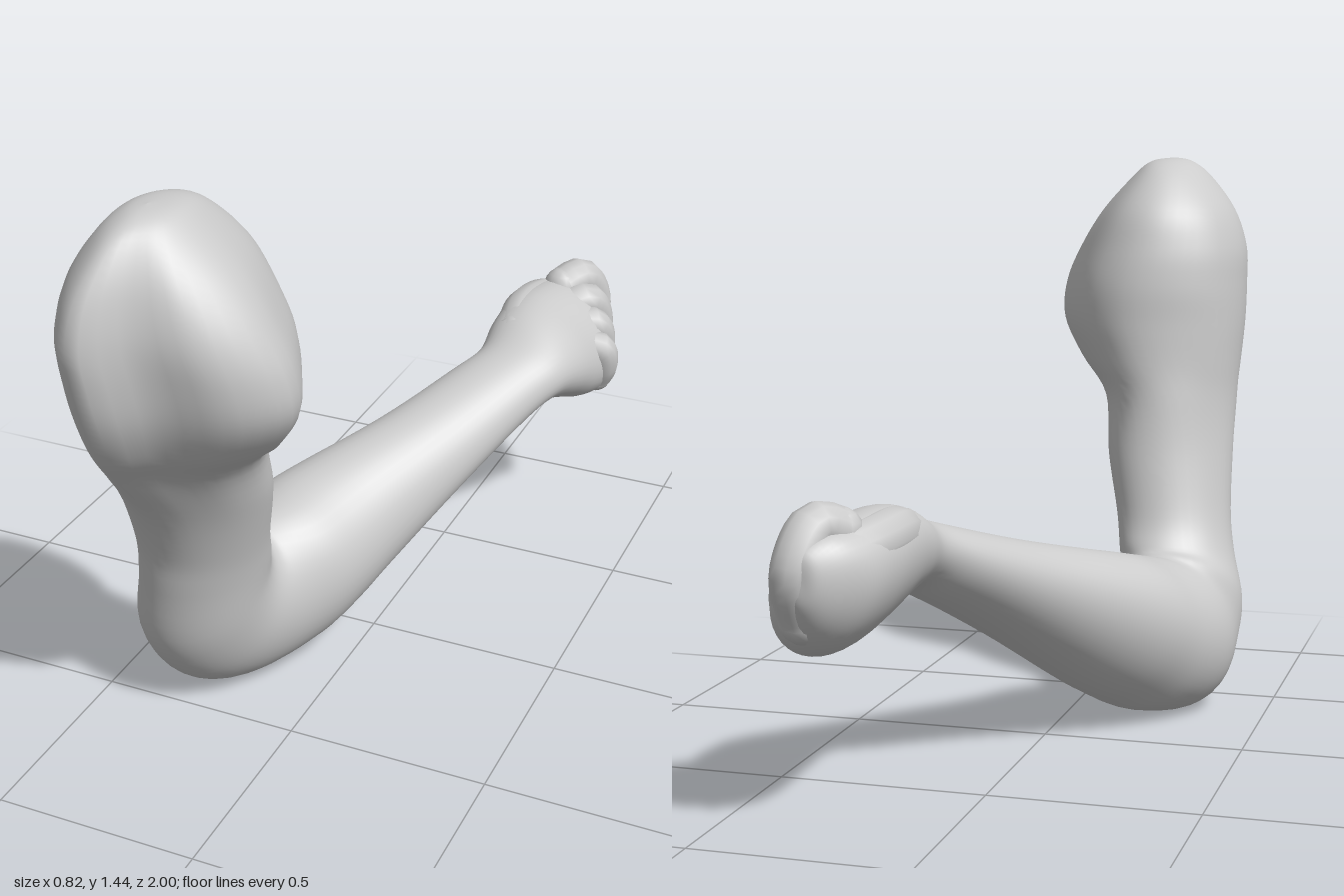
import * as THREE from 'three';

const SIDES = 40;
const STEPS = 5;
const material = new THREE.MeshStandardMaterial({ color: 0xcccccc });

// Outline of the shoulder seen from above, in units of its half width and depth
const shoulderOutline = new THREE.CatmullRomCurve3([
  [1, 0.2], [0.65, 0.58], [0.07, 0.72], [-0.4, 1], [-0.87, 0.45], [-1, -0.15],
  [-0.83, -0.65], [-0.42, -0.92], [0.08, -1], [0.48, -0.82], [0.8, -0.35],
].map(([x, z]) => new THREE.Vector3(x, 0, z)), true);

// Cross-sections: inner y, inner z, outer y, outer z, min x, max x, shoulder blend, lean
const upperArm = [
  [1.44, 0.765, 1.44, 0.765, -0.16, -0.16, 0, 0],
  [1.43, 0.66, 1.43, 0.83, -0.21, -0.1, 0.2, 0],
  [1.39, 0.57, 1.39, 0.9, -0.265, -0.05, 0.5, 0],
  [1.3, 0.48, 1.3, 0.97, -0.335, 0.035, 0.8, 0],
  [1.2, 0.44, 1.2, 1.0, -0.37, 0.1, 0.95, 0],
  [1.1, 0.42, 1.1, 0.99, -0.375, 0.14, 1, 0],
  [1.0, 0.415, 1.0, 0.96, -0.375, 0.14, 0.95, -0.05],
  [0.9, 0.41, 0.9, 0.905, -0.37, 0.08, 0.8, -0.15],
  [0.8, 0.4, 0.8, 0.82, -0.365, -0.01, 0.5, -0.25],
  [0.65, 0.38, 0.65, 0.7, -0.365, -0.04, 0.15, -0.25],
  [0.5, 0.35, 0.5, 0.63, -0.37, -0.075, 0, -0.2],
];
const elbow = [
  [0.43, 0.315, 0.38, 0.605, -0.385, -0.09, 0, -0.2],
  [0.415, 0.295, 0.2, 0.57, -0.415, -0.1, 0, -0.2],
  [0.41, 0.28, 0.065, 0.48, -0.415, -0.09, 0, -0.2],
  [0.415, 0.26, 0, 0.35, -0.41, -0.055, 0, -0.15],
];
const forearm = [
  [0.43, 0.2, 0.02, 0.2, -0.375, 0.005, 0, -0.05],
  [0.455, 0.1, 0.07, 0.1, -0.335, 0.045, 0, 0],
  [0.48, 0, 0.135, 0, -0.27, 0.085, 0, 0],
  [0.535, -0.2, 0.285, -0.2, -0.115, 0.18, 0, 0],
  [0.6, -0.4, 0.415, -0.4, 0.015, 0.275, 0, 0],
  [0.635, -0.5, 0.465, -0.5, 0.08, 0.325, 0, 0.1],
];
const palm = [
  [0.675, -0.6, 0.44, -0.6, 0.08, 0.355, 0, 0.25],
  [0.69, -0.7, 0.4, -0.7, 0.08, 0.37, 0, 0.35],
  [0.685, -0.8, 0.38, -0.8, 0.09, 0.38, 0, 0.35],
  [0.67, -0.88, 0.4, -0.88, 0.11, 0.35, 0, 0.3],
  [0.66, -0.94, 0.45, -0.94, 0.15, 0.31, 0, 0.2],
  [0.63, -0.98, 0.52, -0.98, 0.2, 0.27, 0, 0],
  [0.575, -0.985, 0.575, -0.985, 0.235, 0.235, 0, 0],
];

// Smooth skin through the cross-sections
function loft(rows) {
  const pos = [], index = [], last = rows.length - 1;
  const at = i => rows[Math.min(Math.max(i, 0), last)];
  const rings = last * STEPS + 1;
  for (let r = 0; r < rings; r++) {
    const k = Math.min(Math.floor(r / STEPS), last - 1), f = r / STEPS - k;
    const [yi, zi, yo, zo, x0, x1, w, lean] = at(k).map((p1, c) => {
      const p0 = at(k - 1)[c], p2 = at(k + 1)[c], p3 = at(k + 2)[c];
      return p1 + 0.5 * f * (p2 - p0 + f * (2 * p0 - 5 * p1 + 4 * p2 - p3 + f * (3 * (p1 - p2) + p3 - p0)));
    });
    for (let j = 0; j < SIDES; j++) {
      const t = (j / SIDES) * Math.PI * 2;
      const s = shoulderOutline.getPoint(j / SIDES);
      const a = THREE.MathUtils.lerp(Math.cos(t), s.x, w);
      const b = (1 + THREE.MathUtils.lerp(Math.sin(t + lean), s.z, w)) / 2;
      pos.push(x0 + (x1 - x0) * (1 + a) / 2, yi + (yo - yi) * b, zi + (zo - zi) * b);
      if (r < rings - 1) {
        const n = (j + 1) % SIDES, p = r * SIDES, q = p + SIDES;
        index.push(p + j, p + n, q + j, p + n, q + n, q + j);
      }
    }
  }
  const g = new THREE.BufferGeometry();
  g.setAttribute('position', new THREE.Float32BufferAttribute(pos, 3));
  g.setIndex(index);
  g.computeVertexNormals();
  return g;
}

// Round-ended tube through a few points
function digit(name, points, radius) {
  const group = new THREE.Group();
  group.name = name;
  const curve = new THREE.CatmullRomCurve3(points.map(p => new THREE.Vector3(...p)));
  group.add(new THREE.Mesh(new THREE.TubeGeometry(curve, 16, radius, 12), material));
  for (const end of [0, 1]) {
    const tip = new THREE.Mesh(new THREE.SphereGeometry(radius, 12, 8), material);
    tip.position.copy(curve.getPoint(end));
    group.add(tip);
  }
  return group;
}

export function createModel() {
  const model = new THREE.Group();
  model.name = 'bentArm';

  const arm = new THREE.Mesh(loft([...upperArm, ...elbow, ...forearm, ...palm]), material);
  arm.name = 'armAndPalm';
  model.add(arm);

  // Four fingers pressed together and curled over the palm
  const mix = THREE.MathUtils.lerp;
  for (let i = 0; i < 4; i++) {
    const f = i / 3;
    model.add(digit('finger' + (i + 1), [
      [mix(0.265, 0.335, f), mix(0.48, 0.44, f), mix(-0.905, -0.78, f)],
      [mix(0.265, 0.355, f), mix(0.59, 0.485, f), mix(-0.945, -0.765, f)],
      [mix(0.24, 0.35, f), mix(0.675, 0.54, f), mix(-0.895, -0.745, f)],
      [mix(0.205, 0.3, f), mix(0.66, 0.54, f), mix(-0.85, -0.73, f)],
    ], mix(0.053, 0.045, f)));
  }

  // Thumb lying along the upper side of the palm
  model.add(digit('thumb', [
    [0.16, 0.61, -0.6], [0.145, 0.63, -0.7], [0.155, 0.625, -0.8], [0.19, 0.61, -0.87],
  ], 0.06));
  return model;
}
